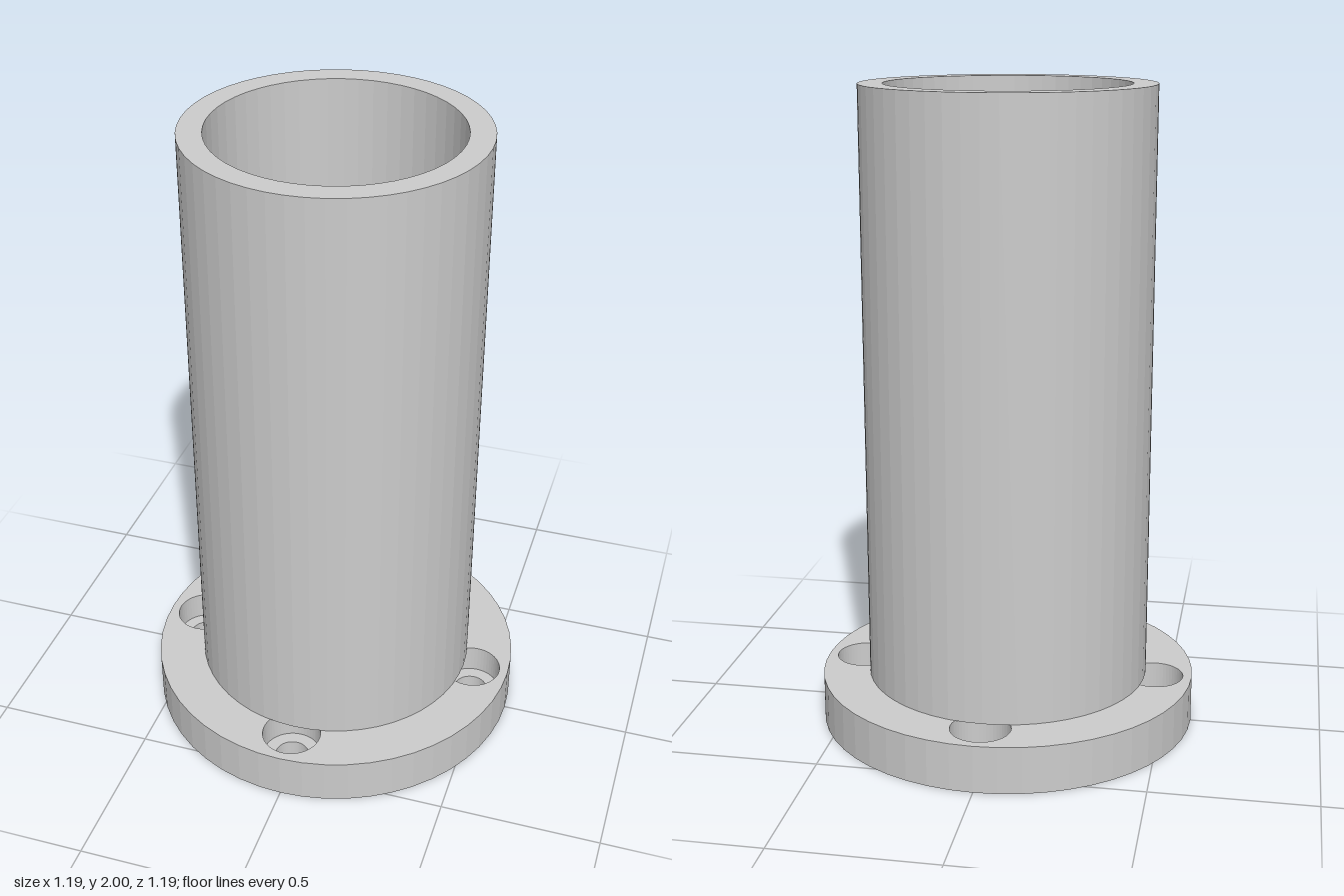
import * as THREE from 'three';

const HEIGHT = 2, FLANGE_TOP = 0.148, LEDGE = 0.056;
const FLANGE_R = 0.593, TUBE_R = 0.445, BORE_R = 0.371;
const BOLT_CIRCLE = 0.473, HOLE_R = 0.053, COUNTERBORE_R = 0.092;

// Upright disc from y0 to y1 with round through-holes given as [x, z, radius]
function disc(name, radius, y0, y1, holes, material) {
  const shape = new THREE.Shape().absarc(0, 0, radius, 0, Math.PI * 2, false);
  for (const [x, z, r] of holes) {
    shape.holes.push(new THREE.Path().absarc(x, z, r, 0, Math.PI * 2, true));
  }
  const geometry = new THREE.ExtrudeGeometry(shape, {
    depth: y1 - y0, bevelEnabled: false, curveSegments: 26,
  });
  geometry.rotateX(-Math.PI / 2).translate(0, y0, 0);
  const mesh = new THREE.Mesh(geometry, material);
  mesh.name = name;
  return mesh;
}

// Four equally spaced holes on the bolt circle
function boltHoles(radius) {
  return [0, 1, 2, 3].map((i) => {
    const a = i * Math.PI / 2;
    return [BOLT_CIRCLE * Math.cos(a), BOLT_CIRCLE * Math.sin(a), radius];
  });
}

export function createModel() {
  const material = new THREE.MeshStandardMaterial({ color: 0xcccccc, flatShading: true });
  const model = new THREE.Group();
  model.name = 'flangedTube';

  // Flange: narrow bolt holes below, wide counterbores above
  const flange = new THREE.Group();
  flange.name = 'flange';
  flange.add(
    disc('flangeBase', FLANGE_R, 0, LEDGE, boltHoles(HOLE_R), material),
    disc('flangeCounterbores', FLANGE_R, LEDGE, FLANGE_TOP, boltHoles(COUNTERBORE_R), material),
  );

  // Open tube standing on the flange, which closes its bottom
  const tube = disc('tube', TUBE_R, FLANGE_TOP, HEIGHT, [[0, 0, BORE_R]], material);

  model.add(flange, tube);
  return model;
}
